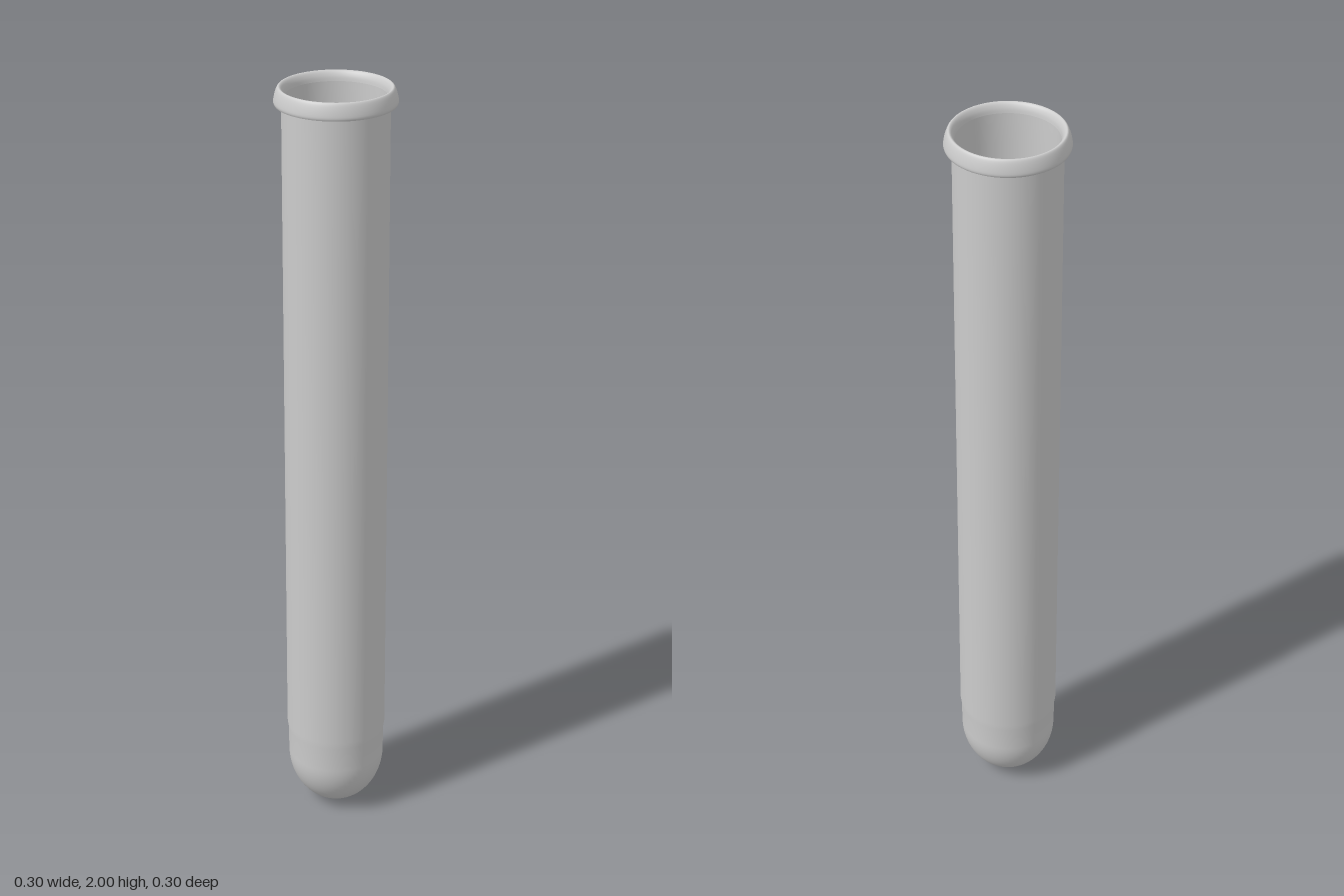
import * as THREE from 'three';

const material = new THREE.MeshStandardMaterial({ color: 0xcccccc, side: THREE.DoubleSide });

// Quarter-ellipse profile of a rounded bottom, from the axis up to the wall
function domeProfile(radius, height, base, steps = 16) {
  return Array.from({ length: steps + 1 }, (_, i) => {
    const a = (i / steps) * Math.PI / 2;
    return new THREE.Vector2(radius * Math.sin(a), base + height * (1 - Math.cos(a)));
  });
}

function lathe(name, points) {
  const mesh = new THREE.Mesh(new THREE.LatheGeometry(points, 64), material);
  mesh.name = name;
  return mesh;
}

const v = (x, y) => new THREE.Vector2(x, y);

export function createModel() {
  const group = new THREE.Group();
  group.name = 'testTube';

  // Outer wall: rounded bottom and a very slightly flaring straight tube
  const outer = domeProfile(0.127, 0.15, 0);
  outer.push(v(0.128, 0.22), v(0.131, 0.24), v(0.131, 1.88), v(0.131, 1.96));
  group.add(lathe('outerWall', outer));

  // Inner wall, running downwards so that it faces the axis
  const inner = domeProfile(0.122, 0.145, 0.01);
  inner.push(v(0.123, 1.9), v(0.124, 1.975));
  group.add(lathe('innerWall', inner.reverse()));

  // Underside of the lip
  group.add(lathe('lipUnderside', [v(0.131, 1.958), v(0.148, 1.958)]));

  // Rounded lip, widest near its lower edge, curling into the mouth
  const lip = new THREE.SplineCurve([
    v(0.148, 1.958), v(0.15, 1.965), v(0.147, 1.981), v(0.142, 1.995),
    v(0.137, 2), v(0.131, 1.996), v(0.126, 1.986), v(0.124, 1.975),
  ]);
  group.add(lathe('lip', lip.getPoints(24)));

  return group;
}
